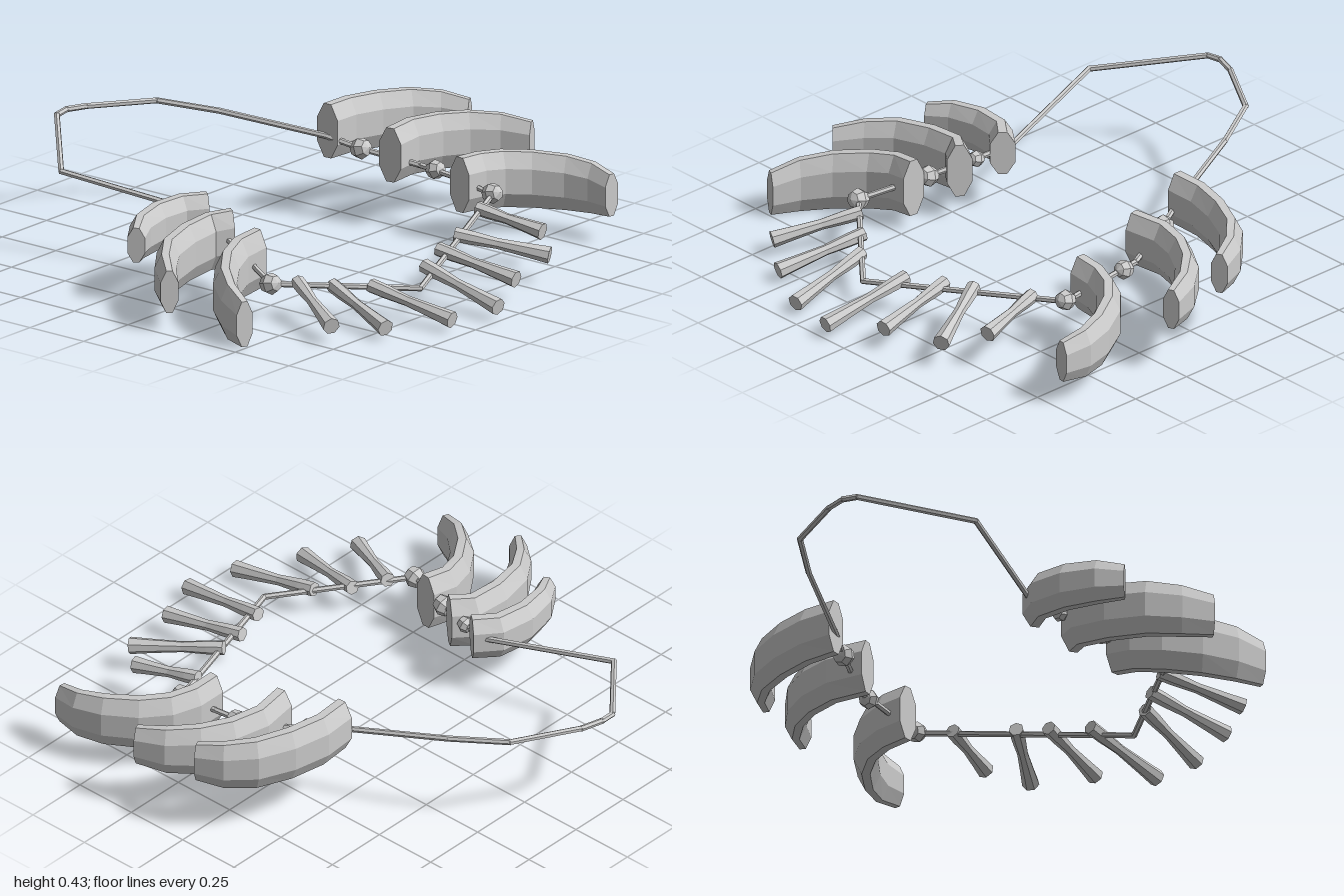
import * as THREE from 'three';

const material = new THREE.MeshStandardMaterial({ color: 0xcccccc, flatShading: true, side: THREE.DoubleSide });
const UP = new THREE.Vector3(0, 1, 0);

function add(parent, name, geometry) {
  const mesh = new THREE.Mesh(geometry, material);
  mesh.name = name;
  parent.add(mesh);
  return mesh;
}

// Turn a y-aligned mesh so that it runs from a to b
function align(mesh, a, b) {
  mesh.position.copy(a).add(b).multiplyScalar(0.5);
  mesh.quaternion.setFromUnitVectors(UP, b.clone().sub(a).normalize());
}

// Octagonal section of a plate, counter-clockwise
const SECTION = [[1, -0.45], [1, 0.45], [0.35, 1], [-0.35, 1], [-1, 0.45], [-1, -0.45], [-0.35, -1], [0.35, -1]];

// Curved plate: the section swept along [x, z] points, height going from y0 to y1
function plateGeometry(path, y0, y1, halfHeight) {
  const last = path.length - 1, n = SECTION.length;
  const centre = path.map(([x, z], i) => new THREE.Vector3(x, y0 + (y1 - y0) * i / last, z));
  const pos = [], index = [];
  centre.forEach((p, i) => {
    const t = centre[Math.min(i + 1, last)].clone().sub(centre[Math.max(i - 1, 0)]).setY(0).normalize();
    const side = t.cross(UP);
    const u = i / last;
    const h = halfHeight * (1 - 0.06 * (1 - u) - 0.28 * u ** 4);
    const w = 0.046 - 0.014 * u ** 3;
    for (const [a, b] of SECTION) pos.push(p.x + side.x * a * w, p.y + b * h, p.z + side.z * a * w);
  });
  for (let i = 0; i < last; i++) {
    for (let j = 0; j < n; j++) {
      const a = i * n + j, b = i * n + (j + 1) % n;
      index.push(a, a + n, b, b, a + n, b + n);
    }
  }
  for (let j = 1; j < n - 1; j++) {
    index.push(0, j, j + 1);
    index.push(last * n, last * n + j + 1, last * n + j);
  }
  const g = new THREE.BufferGeometry();
  g.setAttribute('position', new THREE.Float32BufferAttribute(pos, 3));
  g.setIndex(index);
  g.computeVertexNormals();
  return g;
}

export function createModel() {
  const model = new THREE.Group();
  model.name = 'necklace';

  // Closed cord
  const cord = new THREE.Group();
  cord.name = 'cord';
  model.add(cord);
  const points = [
    [-0.40, 0.26, -0.20], [-0.53, 0.335, -0.70], [-0.21, 0.41, -0.985], [-0.15, 0.415, -0.99],
    [-0.07, 0.412, -0.965], [0.16, 0.405, -0.825], [0.27, 0.38, -0.62], [0.42, 0.325, -0.25],
    [0.47, 0.29, -0.13], [0.55, 0.25, 0.08], [0.555, 0.235, 0.25], [0.545, 0.21, 0.42],
    [-0.21, 0.105, 0.71], [-0.62, 0.15, 0.35], [-0.51, 0.20, 0.11], [-0.44, 0.235, -0.06],
  ].map(p => new THREE.Vector3(...p));
  points.forEach((a, i) => {
    const b = points[(i + 1) % points.length];
    const segment = add(cord, 'cordSegment', new THREE.CylinderGeometry(0.011, 0.011, a.distanceTo(b) + 0.008, 6));
    align(segment, a, b);
  });

  // Small faceted beads between the plates: x, y, z, heading
  const beads = [
    [-0.44, 0.235, -0.06, 0.4, 0.85], [-0.51, 0.20, 0.11, 0.4, 1.1], [-0.62, 0.15, 0.35, 0.6, 1.1],
    [0.47, 0.29, -0.13, -0.4, 1.1], [0.558, 0.245, 0.145, 0, 1], [0.545, 0.215, 0.42, 0.5, 1.05],
  ];
  for (const [x, y, z, turn, size] of beads) {
    const bead = add(model, 'bead', new THREE.SphereGeometry(0.037 * size, 7, 4));
    bead.position.set(x, y, z);
    bead.rotation.set(Math.PI / 2.4, turn, 0);
  }

  // Waisted pendants fanning out at the front: inner end, outer end
  const pendants = [
    [-0.54, 0.15, 0.41, -0.70, 0.082, 0.70],
    [-0.44, 0.13, 0.49, -0.54, 0.06, 0.82],
    [-0.345, 0.125, 0.59, -0.315, 0.06, 0.945],
    [-0.08, 0.14, 0.62, -0.11, 0.067, 0.99],
    [0.065, 0.155, 0.565, 0.10, 0.10, 0.90],
    [0.19, 0.175, 0.54, 0.35, 0.12, 0.85],
    [0.415, 0.20, 0.46, 0.46, 0.155, 0.725],
  ];
  for (const [ax, ay, az, bx, by, bz] of pendants) {
    const a = new THREE.Vector3(ax, ay, az), b = new THREE.Vector3(bx, by, bz);
    const half = a.distanceTo(b) / 2;
    const profile = [[0, -1], [0.027, -1], [0.026, -0.65], [0.02, -0.1], [0.027, 0.6], [0.032, 1], [0, 1]]
      .map(([r, s]) => new THREE.Vector2(r, s * half));
    align(add(model, 'pendant', new THREE.LatheGeometry(profile, 7)), a, b);
  }

  // Curved plates on both sides, each from the cord outward
  const plates = [
    ['leftBackPlate', 0.345, 0.318, 0.108,
      [[0.42, -0.245], [0.54, -0.25], [0.67, -0.22], [0.79, -0.165], [0.87, -0.085], [0.915, 0.01]]],
    ['leftMiddlePlate', 0.295, 0.28, 0.108,
      [[0.465, 0.01], [0.6, -0.01], [0.72, 0.02], [0.82, 0.08], [0.9, 0.17], [0.945, 0.275]]],
    ['leftFrontPlate', 0.235, 0.195, 0.11,
      [[0.50, 0.305], [0.60, 0.31], [0.69, 0.345], [0.77, 0.42], [0.835, 0.53], [0.862, 0.63], [0.85, 0.725]]],
    ['rightBackPlate', 0.25, 0.235, 0.09,
      [[-0.385, -0.14], [-0.46, -0.2], [-0.58, -0.215], [-0.70, -0.19], [-0.785, -0.14]]],
    ['rightMiddlePlate', 0.215, 0.165, 0.11,
      [[-0.44, 0.02], [-0.51, -0.03], [-0.64, -0.03], [-0.78, 0.005], [-0.88, 0.075], [-0.96, 0.16]]],
    ['rightFrontPlate', 0.185, 0.105, 0.118,
      [[-0.50, 0.19], [-0.60, 0.18], [-0.70, 0.215], [-0.81, 0.295], [-0.89, 0.39], [-0.935, 0.49]]],
  ];
  for (const [name, y0, y1, h, path] of plates) add(model, name, plateGeometry(path, y0, y1, h));

  return model;
}
